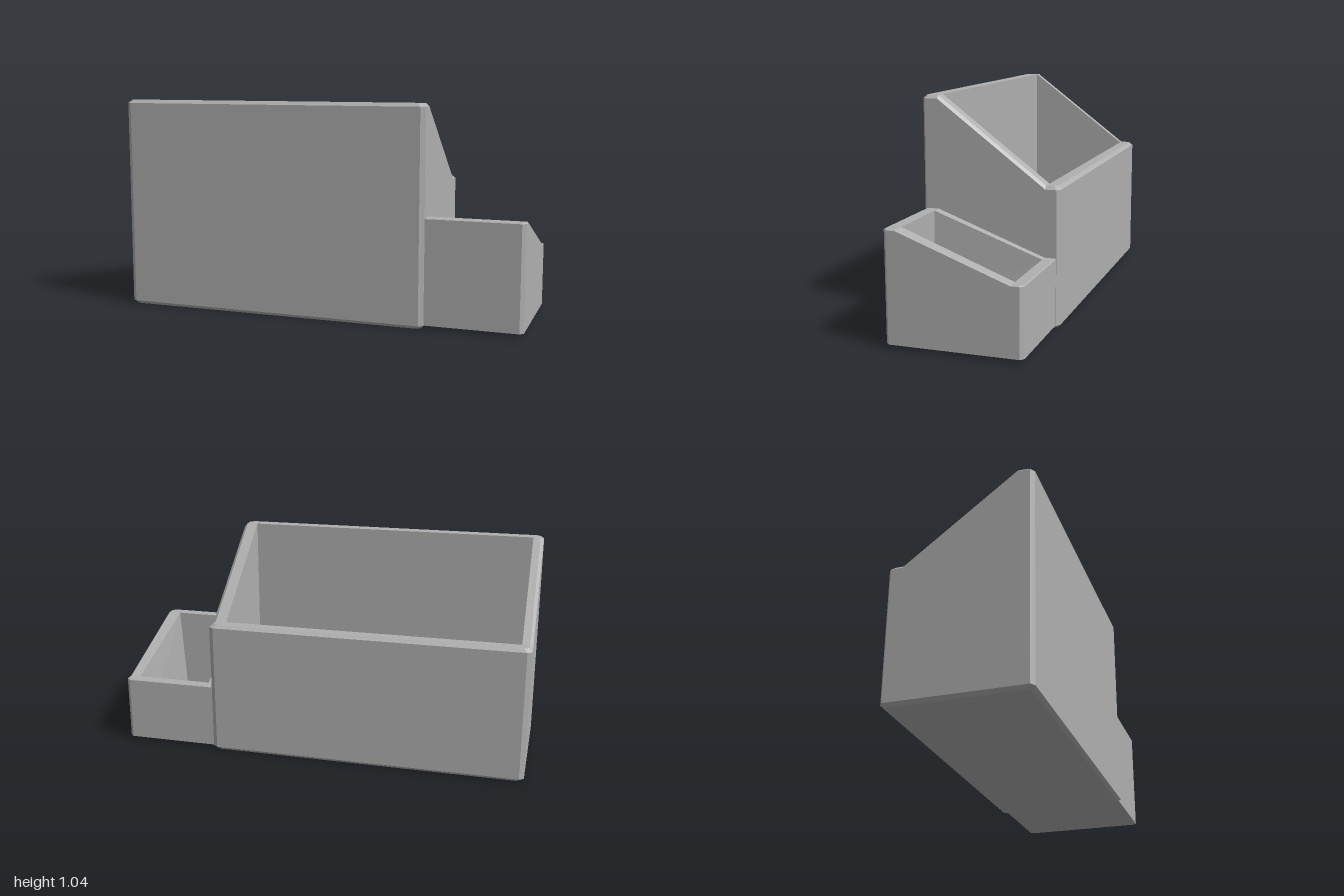
import * as THREE from 'three';

// Outline with cut corners, running anticlockwise seen from above; the side
// points at zb and zf are where the rim changes between flat and sloped.
function outline(b, inset, cutX, cutZ) {
  const x0 = b.x0 + inset, x1 = b.x1 - inset, z0 = b.z0 + inset, z1 = b.z1 - inset;
  const l0 = b.squareLeft ? 0 : cutX, m0 = b.squareLeft ? 0 : cutZ;
  return [
    [x0 + l0, z1], [x1 - cutX, z1], [x1, z1 - cutZ], [x1, b.zf], [x1, b.zb], [x1, z0 + cutZ],
    [x1 - cutX, z0], [x0 + l0, z0], [x0, z0 + m0], [x0, b.zb], [x0, b.zf], [x0, z1 - m0],
  ];
}

// Open bin: skin from the base, up the outside, over the rim and down to the floor
function makeBin(b) {
  const rimY = z => {
    const t = THREE.MathUtils.clamp((z - b.zb) / (b.zf - b.zb), 0, 1);
    return b.yBack + t * (b.yFront - b.yBack);
  };
  const mid = (b.inner.x0 + b.inner.x1) / 2;
  const clampIn = ([x, z], taper) => {
    const zi = THREE.MathUtils.clamp(z, b.zb, b.zf);
    const narrow = taper + b.skew * (zi - b.zb) / (b.zf - b.zb);
    return [x < mid ? b.inner.x0 + narrow : b.inner.x1 - narrow, zi];
  };
  const outer = outline(b, 0, b.cutX, b.cutZ);
  const lip = outline(b, b.bevel, b.cutX, b.cutZ);
  const base = outline(b, b.baseBevel, b.cutX, b.cutZ);
  const rings = [
    base.map(([x, z]) => [x, b.y0, z]),
    outer.map(([x, z]) => [x, b.y0 + b.baseBevel, z]),
    outer.map(([x, z]) => [x, rimY(z) - b.bevel, z]),
    lip.map(([x, z]) => [x, rimY(z), z]),
    outer.map(p => clampIn(p, 0)).map(([x, z]) => [x, rimY(z), z]),
    outer.map(p => clampIn(p, b.taper)).map(([x, z]) => [x, b.floor, z]),
  ];
  const pos = [];
  const tri = (p, q, r) => {
    const a = new THREE.Vector3(...p), u = new THREE.Vector3(...q).sub(a), v = new THREE.Vector3(...r).sub(a);
    if (u.cross(v).length() > 1e-7) pos.push(...p, ...q, ...r);
  };
  const n = outer.length;
  for (let k = 0; k + 1 < rings.length; k++) {
    for (let i = 0; i < n; i++) {
      const j = (i + 1) % n;
      tri(rings[k][i], rings[k][j], rings[k + 1][j]);
      tri(rings[k][i], rings[k + 1][j], rings[k + 1][i]);
    }
  }
  // Underside and inner floor
  const top = rings[rings.length - 1];
  for (let i = 1; i + 1 < n; i++) {
    tri(rings[0][0], rings[0][i + 1], rings[0][i]);
    tri(top[0], top[i], top[i + 1]);
  }
  const geo = new THREE.BufferGeometry();
  geo.setAttribute('position', new THREE.Float32BufferAttribute(pos, 3));
  geo.computeVertexNormals();
  return geo;
}

export function createModel() {
  const grey = new THREE.MeshStandardMaterial({ color: 0xb0b0b0 });
  grey.name = 'grey plastic';
  const group = new THREE.Group();
  group.name = 'desk organizer';
  const add = (name, spec) => {
    const mesh = new THREE.Mesh(makeBin(spec), grey);
    mesh.name = name;
    group.add(mesh);
  };

  // Wide bin with a tall front and a sloping rim
  add('mainBin', {
    x0: -1, x1: 0.538, z0: -0.328, z1: 0.328, zb: -0.26, zf: 0.252,
    y0: 0, yBack: 0.655, yFront: 1.042, floor: 0.06,
    cutX: 0.022, cutZ: 0.015, bevel: 0.015, baseBevel: 0.016,
    inner: { x0: -0.95, x1: 0.47 }, taper: 0, skew: 0,
  });

  // Small side bin, half as high, with tapering inner walls
  add('sideBin', {
    x0: 0.52, x1: 0.998, z0: -0.311, z1: 0.311, zb: -0.258, zf: 0.252,
    y0: 0.018, yBack: 0.33, yFront: 0.521, floor: 0.06,
    cutX: 0.018, cutZ: 0.016, bevel: 0.004, baseBevel: 0, squareLeft: true,
    inner: { x0: 0.575, x1: 0.945 }, taper: 0.028, skew: 0.012,
  });
  return group;
}
